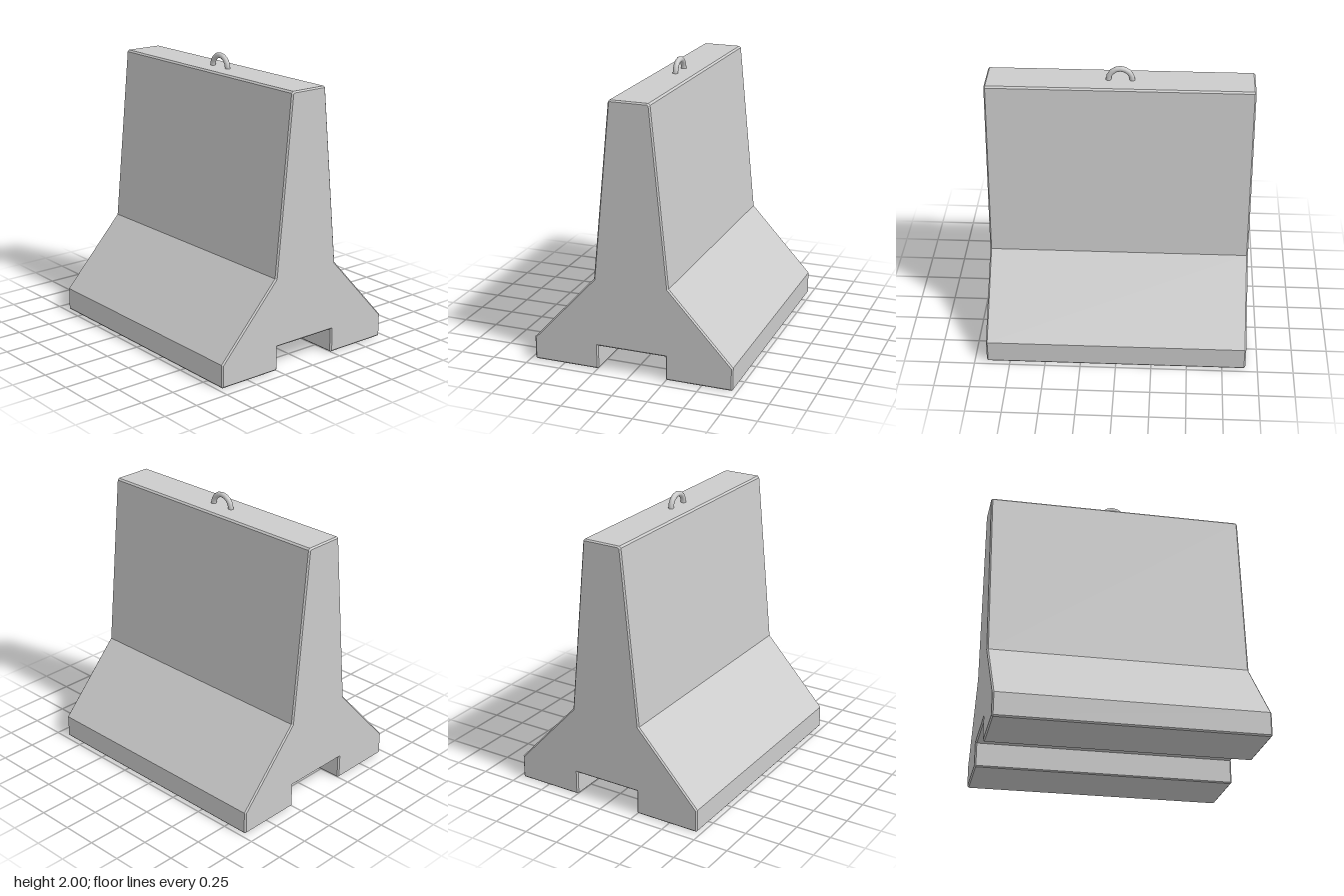
import * as THREE from 'three';

const WIDTH = 1.83;
const BEVEL = 0.01;

export function createModel() {
  const group = new THREE.Group();
  const material = new THREE.MeshStandardMaterial({ color: 0xcccccc });

  // Half of the cross-section (z, y), from the notch roof round to the top
  const half = [
    [0.245, 0.17], [0.245, 0.008], [0.253, 0],
    [0.712, 0], [0.72, 0.01], [0.72, 0.165],
    [0.267, 0.657], [0.145, 1.888], [0.133, 1.9],
  ];
  const mirrored = half.map(([z, y]) => [-z, y]).reverse();
  const profile = new THREE.Shape([...half, ...mirrored].map(([z, y]) => new THREE.Vector2(z, y)));

  // Concrete body, with chamfered ends kept inside the profile
  const body = new THREE.ExtrudeGeometry(profile, {
    depth: WIDTH - 2 * BEVEL,
    bevelEnabled: true,
    bevelThickness: BEVEL,
    bevelSize: BEVEL,
    bevelOffset: -BEVEL,
    bevelSegments: 1,
  });
  body.translate(0, 0, BEVEL - WIDTH / 2);
  body.rotateY(-Math.PI / 2);
  const barrier = new THREE.Mesh(body, material);
  barrier.name = 'barrierBody';
  group.add(barrier);

  // Lifting loop on the top face
  const loop = new THREE.Mesh(new THREE.TorusGeometry(0.081, 0.019, 12, 8, Math.PI), material);
  loop.name = 'liftingLoop';
  loop.position.y = 1.9;
  group.add(loop);

  return group;
}
